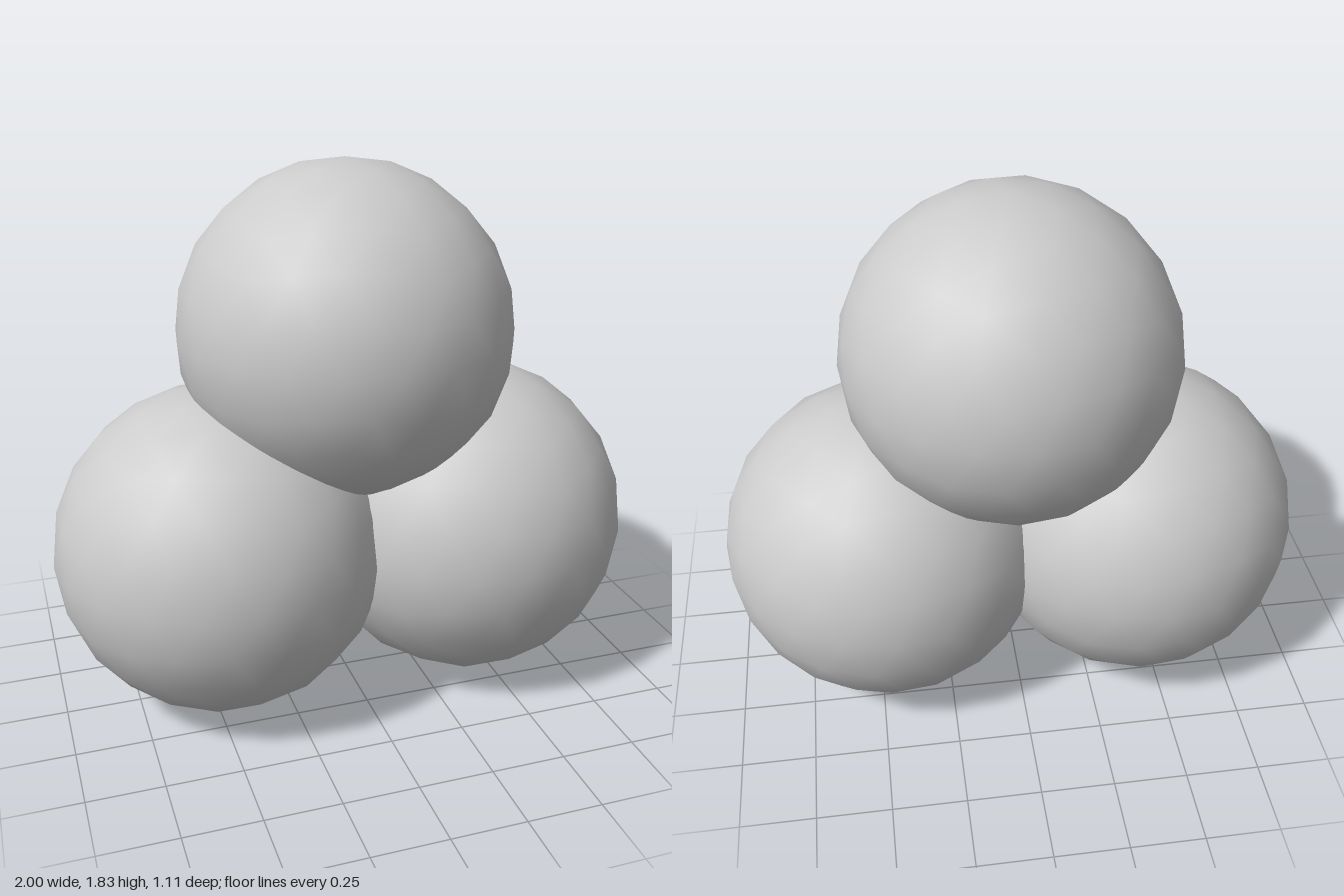
import * as THREE from 'three';

const RADIUS = 0.557;

// Icosphere with a vertex at each pole, split twice and pushed onto the sphere
function icosphere(radius, splits) {
  const ring = (sign, start) => Array.from({ length: 5 }, (_, i) => {
    const a = start + (i * Math.PI * 2) / 5;
    const c = 2 / Math.sqrt(5);
    return new THREE.Vector3(c * Math.cos(a), sign / Math.sqrt(5), -c * Math.sin(a));
  });
  const top = new THREE.Vector3(0, 1, 0);
  const bottom = new THREE.Vector3(0, -1, 0);
  const upper = ring(1, 0);
  const lower = ring(-1, Math.PI / 5);

  let faces = [];
  for (let i = 0; i < 5; i++) {
    const j = (i + 1) % 5;
    faces.push(
      [top, upper[i], upper[j]],
      [upper[i], lower[i], upper[j]],
      [lower[i], lower[j], upper[j]],
      [bottom, lower[j], lower[i]],
    );
  }

  const mid = (a, b) => a.clone().add(b).normalize();
  for (let s = 0; s < splits; s++) {
    faces = faces.flatMap(([a, b, c]) => {
      const ab = mid(a, b), bc = mid(b, c), ca = mid(c, a);
      return [[a, ab, ca], [ab, b, bc], [ca, bc, c], [ab, bc, ca]];
    });
  }

  // Unit points double as smooth normals
  const points = faces.flat();
  const geometry = new THREE.BufferGeometry().setFromPoints(
    points.map((p) => p.clone().multiplyScalar(radius)));
  geometry.setAttribute('normal',
    new THREE.Float32BufferAttribute(points.flatMap((p) => p.toArray()), 3));
  return geometry;
}

export function createModel() {
  const group = new THREE.Group();
  group.name = 'sphereCluster';
  const geometry = icosphere(RADIUS, 2);
  const material = new THREE.MeshStandardMaterial({ color: 0xcccccc });

  // Two spheres side by side with a third resting between them
  const spheres = [
    ['leftSphere', 0.442, 0.561],
    ['rightSphere', -0.442, 0.561],
    ['topSphere', 0, 1.279],
  ];
  for (const [name, x, y] of spheres) {
    const sphere = new THREE.Mesh(geometry, material);
    sphere.name = name;
    sphere.position.set(x, y, 0);
    group.add(sphere);
  }
  return group;
}
